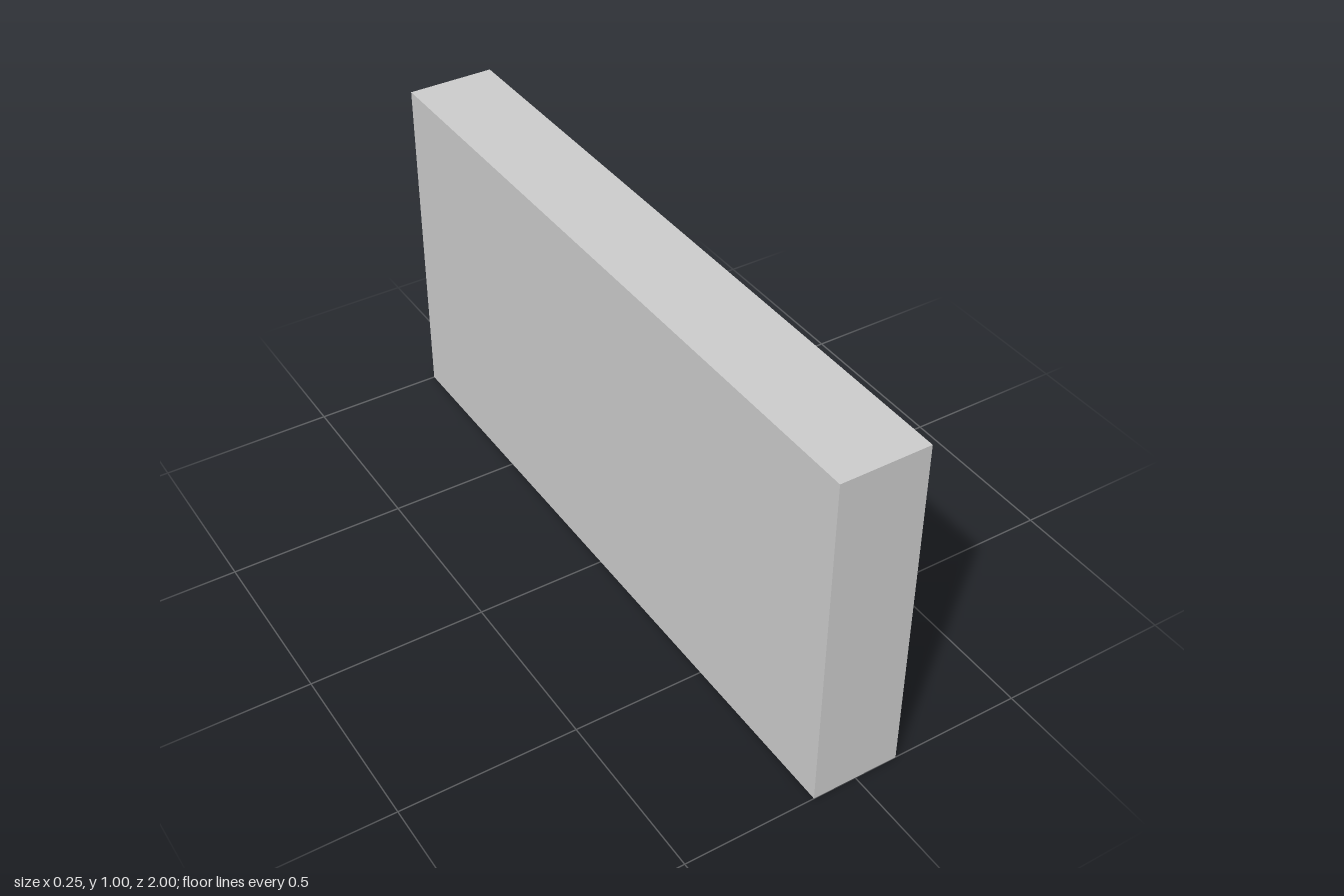
import * as THREE from 'three';

const W = 0.25, H = 1, L = 2;       // slab thickness, height, length
const RING = 0.171, TUBE = 0.043;   // groove radius and half-width
const SIDES = 8;
const material = new THREE.MeshStandardMaterial({ color: 0xcccccc, flatShading: true });

function part(name, geometry, x = 0, y = 0, z = 0) {
  const mesh = new THREE.Mesh(geometry, material);
  mesh.name = name;
  mesh.position.set(x, y, z);
  return mesh;
}

// Octagonal outline with a corner at the top
function octagon(cx, cy, r) {
  const path = new THREE.Path();
  const points = [];
  for (let i = 0; i < SIDES; i++) {
    const a = (i / SIDES) * Math.PI * 2;
    points.push(new THREE.Vector2(cx + r * Math.cos(a), cy + r * Math.sin(a)));
  }
  path.setFromPoints(points);
  path.closePath();
  return path;
}

export function createModel() {
  const group = new THREE.Group();
  group.name = 'groovedSlab';

  // Slab body, left open on the grooved +x side (first six indices)
  const body = new THREE.BoxGeometry(W, H, L);
  body.setIndex(Array.from(body.index.array).slice(6));
  body.clearGroups();
  group.add(part('slabBody', body, 0, H / 2, 0));

  // Grooved side with an opening for each ring
  const face = new THREE.Shape();
  face.moveTo(-L / 2, -H / 2);
  face.lineTo(L / 2, -H / 2);
  face.lineTo(L / 2, H / 2);
  face.lineTo(-L / 2, H / 2);
  face.closePath();
  for (const s of [-1, 1]) face.holes.push(octagon(s * L / 4, 0, RING + TUBE));
  const faceGeometry = new THREE.ShapeGeometry(face).rotateY(Math.PI / 2);
  group.add(part('groovedFace', faceGeometry, W / 2, H / 2, 0));

  // Half-round channel, from the outer rim down and up to the inner rim
  const profile = [];
  for (let i = 0; i <= 4; i++) {
    const a = -i * Math.PI / 4;
    profile.push(new THREE.Vector2(RING + TUBE * Math.cos(a), TUBE * Math.sin(a)));
  }
  const channel = new THREE.LatheGeometry(profile, SIDES).rotateZ(-Math.PI / 2);
  const island = new THREE.CircleGeometry(RING - TUBE, SIDES).rotateY(Math.PI / 2);

  for (const s of [-1, 1]) {
    const end = s > 0 ? 'front' : 'back';
    group.add(part(end + 'RingGroove', channel, W / 2, H / 2, s * L / 4));
    group.add(part(end + 'RingCentre', island, W / 2, H / 2, s * L / 4));
  }
  return group;
}
